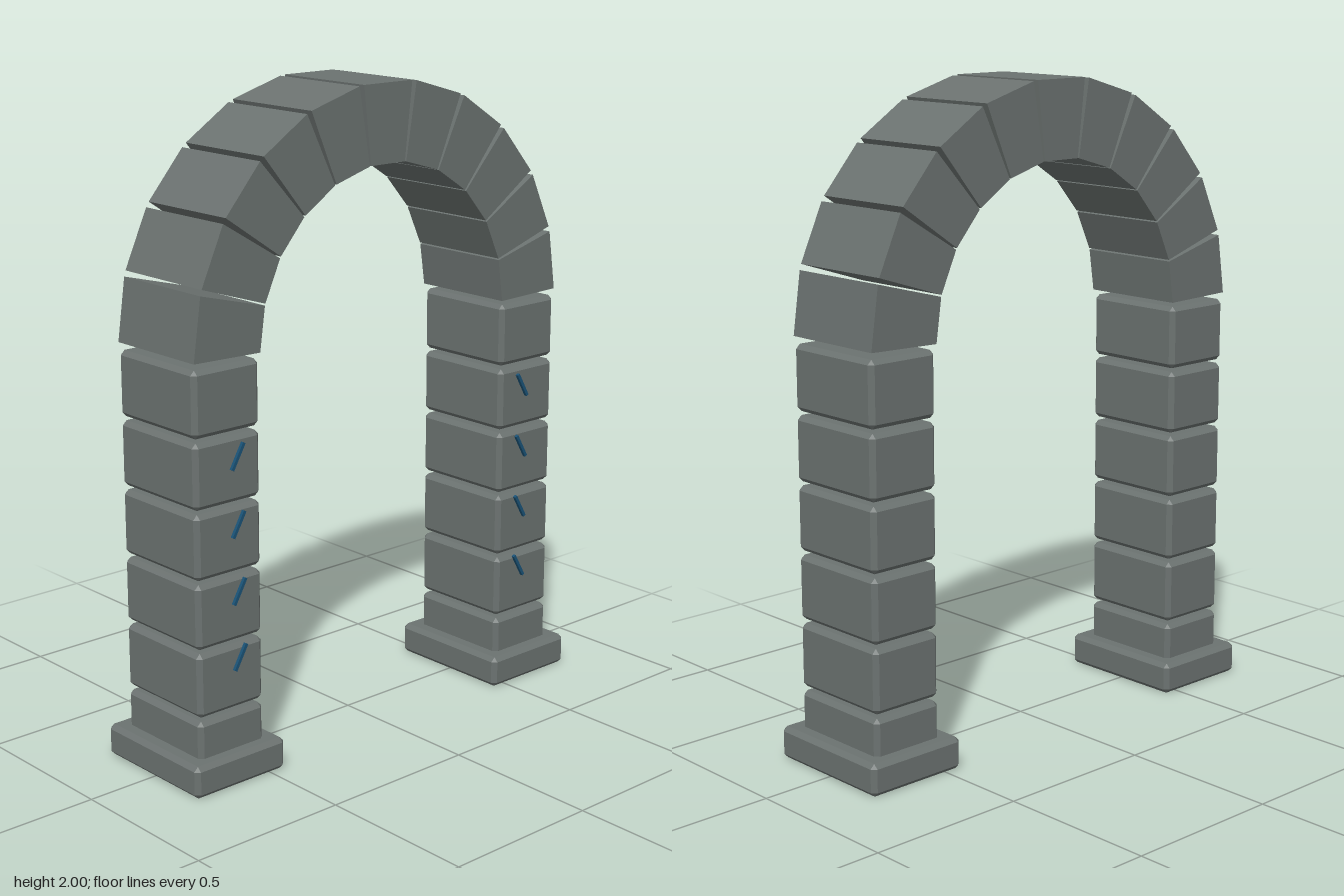
import * as THREE from 'three';
import { ConvexGeometry } from 'three/addons/geometries/ConvexGeometry.js';

// Box with flat chamfers on every edge
function chamferBox(w, h, d, c) {
  const points = [];
  const [x, y, z] = [w / 2, h / 2, d / 2];
  for (const sx of [-1, 1]) for (const sy of [-1, 1]) for (const sz of [-1, 1]) {
    points.push(
      new THREE.Vector3(sx * x, sy * (y - c), sz * (z - c)),
      new THREE.Vector3(sx * (x - c), sy * y, sz * (z - c)),
      new THREE.Vector3(sx * (x - c), sy * (y - c), sz * z)
    );
  }
  return new ConvexGeometry(points);
}

export function createModel() {
  const stone = new THREE.MeshStandardMaterial({ color: 0x6b7270 });
  stone.name = 'greyStone';
  const blue = new THREE.MeshStandardMaterial({ color: 0x1a5276 });
  blue.name = 'blueRune';

  const model = new THREE.Group();
  model.name = 'stoneArch';
  const add = (parent, name, geometry, material, x, y, z) => {
    const mesh = new THREE.Mesh(geometry, material);
    mesh.name = name;
    mesh.position.set(x, y, z);
    parent.add(mesh);
    return mesh;
  };

  const depth = 0.35, columnX = 0.613;
  const baseGeo = chamferBox(0.335, 0.1, 0.435, 0.014);
  const blockGeo = chamferBox(0.24, 0.198, depth, 0.014);
  const runeGeo = new THREE.BoxGeometry(0.01, 0.086, 0.0098);

  // Two mirrored columns: plinth, six stacked blocks, four slanted marks
  for (const side of [-1, 1]) {
    const column = new THREE.Group();
    column.name = side > 0 ? 'leftColumn' : 'rightColumn';
    model.add(column);
    add(column, 'plinth', baseGeo, stone, side * columnX, 0.05, 0);
    for (let i = 0; i < 6; i++) {
      add(column, 'columnBlock', blockGeo, stone, side * columnX, 0.114 + i * 0.21, 0);
    }
    for (let i = 0; i < 4; i++) {
      const rune = add(column, 'rune', runeGeo, blue, side * 0.585, 0.383 + i * 0.2033, 0.1815);
      rune.rotation.z = side * Math.PI / 6;
    }
  }

  // Wedge stone, symmetric about +y, measured from the arch centre
  const outer = 0.73, inner = 0.492, centreY = 1.276;
  const outerHalf = THREE.MathUtils.degToRad(7.48);
  const innerHalf = THREE.MathUtils.degToRad(7.85);
  const at = (r, a) => new THREE.Vector2(r * Math.sin(a), r * Math.cos(a));
  const wedge = new THREE.Shape([
    at(inner, -innerHalf), at(inner, innerHalf), at(outer, outerHalf), at(outer, -outerHalf),
  ]);
  const wedgeGeo = new THREE.ExtrudeGeometry(wedge, { depth, bevelEnabled: false });
  wedgeGeo.translate(0, 0, -depth / 2);

  // Eleven wedge stones around the half circle
  const arch = new THREE.Group();
  arch.name = 'arch';
  model.add(arch);
  const count = 11;
  for (let i = 0; i < count; i++) {
    const name = i === 5 ? 'keystone' : 'archStone';
    const block = add(arch, name, wedgeGeo, stone, 0, centreY, 0);
    block.rotation.z = (i - 5) * Math.PI / count;
  }

  return model;
}
